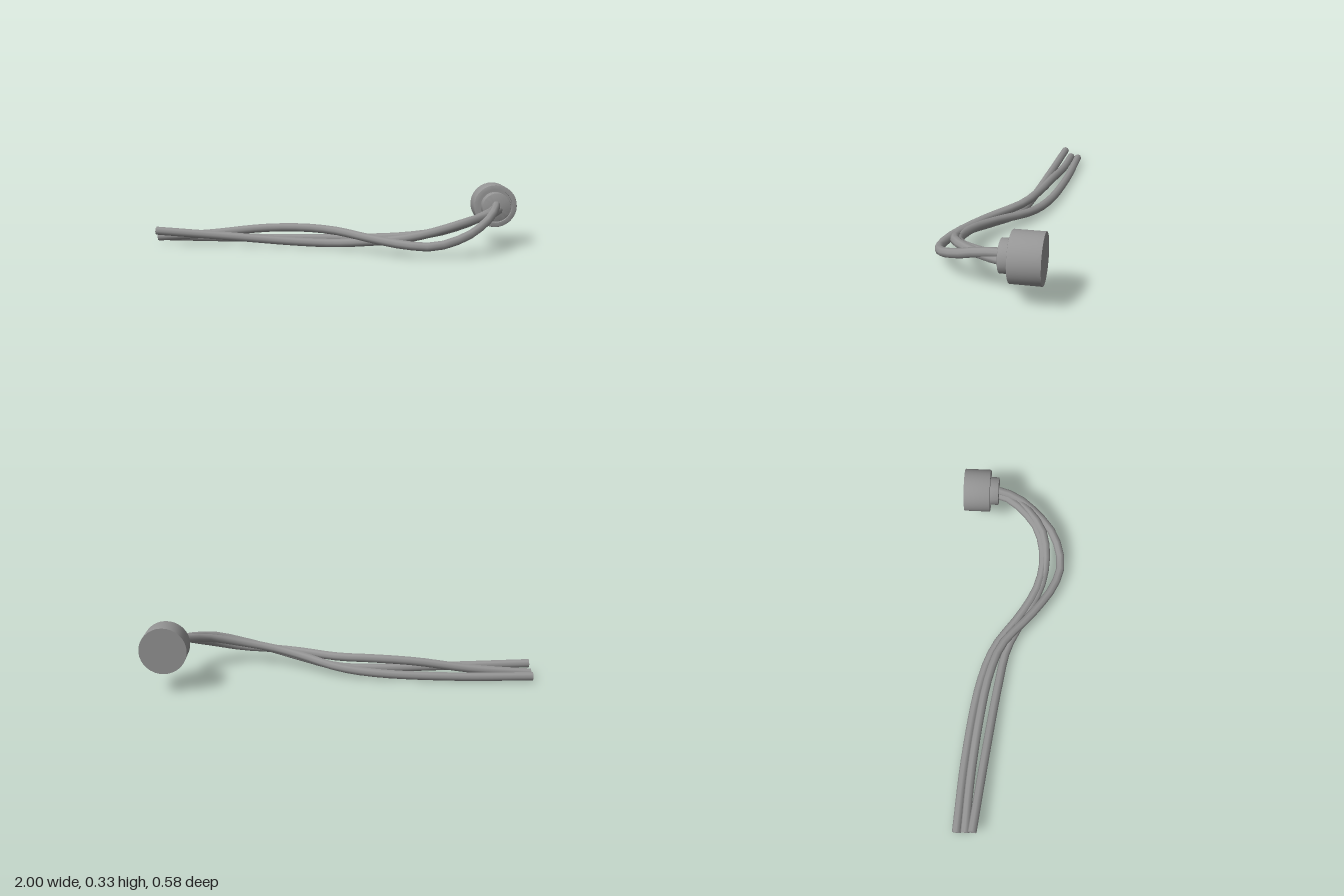
import * as THREE from 'three';
import { toCreasedNormals } from 'three/addons/utils/BufferGeometryUtils.js';

const darkGrey = new THREE.MeshStandardMaterial({ color: 0x959595 });
const CABLE_RADIUS = 0.023;

// Cable swept through a few points, closed by a flat cap at its free end
function makeCable(name, points) {
  const group = new THREE.Group();
  group.name = name;
  const curve = new THREE.CatmullRomCurve3(points.map((p) => new THREE.Vector3(...p)));
  const sheath = new THREE.Mesh(new THREE.TubeGeometry(curve, 28, CABLE_RADIUS, 8), darkGrey);
  sheath.name = name + 'Sheath';
  const cap = new THREE.Mesh(new THREE.CircleGeometry(CABLE_RADIUS, 8), darkGrey);
  cap.name = name + 'Cap';
  const outward = curve.getTangentAt(0).negate();
  cap.quaternion.setFromUnitVectors(new THREE.Vector3(0, 0, 1), outward);
  cap.position.copy(curve.getPointAt(0));
  group.add(sheath, cap);
  return group;
}

// Round connector part turned around the z axis from [radius, z] points
function makeTurned(name, points) {
  const profile = points.map(([r, z]) => new THREE.Vector2(r, z));
  const geometry = toCreasedNormals(new THREE.LatheGeometry(profile, 32), 0.7);
  geometry.rotateX(Math.PI / 2);
  const mesh = new THREE.Mesh(geometry, darkGrey);
  mesh.name = name;
  return mesh;
}

export function createModel() {
  const model = new THREE.Group();
  model.name = 'cableHarness';

  // Connector: wide body with a recess in its front, narrow collar standing in it
  const connector = new THREE.Group();
  connector.name = 'connector';
  connector.position.set(0.88, 0.218, 0);
  connector.add(
    makeTurned('connectorBody', [
      [0, -0.293], [0.117, -0.293], [0.117, -0.152], [0.1155, -0.1485], [0.112, -0.147],
      [0.092, -0.147], [0.092, -0.167], [0, -0.167],
    ]),
    makeTurned('connectorCollar', [
      [0.077, -0.167], [0.077, -0.105], [0.0755, -0.1015], [0.072, -0.1], [0, -0.1],
    ]),
  );
  model.add(connector);

  // Three loosely twisted cables, from the free end to the connector
  model.add(
    makeCable('rearCable', [
      [-1, 0.025, -0.222], [-0.6, 0.024, -0.2], [-0.2, 0.033, -0.147], [0, 0.047, -0.08],
      [0.2, 0.073, 0.06], [0.36, 0.095, 0.143], [0.52, 0.12, 0.168], [0.68, 0.16, 0.127],
      [0.79, 0.19, 0.03], [0.85, 0.203, -0.06], [0.865, 0.205, -0.12],
    ]),
    makeCable('archedCable', [
      [-1, 0.03, -0.178], [-0.7, 0.053, -0.165], [-0.4, 0.09, -0.135], [-0.18, 0.1, -0.1],
      [0, 0.094, -0.04], [0.2, 0.078, 0.12], [0.38, 0.065, 0.235], [0.52, 0.066, 0.269],
      [0.68, 0.11, 0.218], [0.79, 0.165, 0.105], [0.85, 0.21, 0], [0.88, 0.23, -0.12],
    ]),
    makeCable('frontCable', [
      [-1, 0.07, -0.14], [-0.6, 0.05, -0.097], [-0.2, 0.03, -0.048], [0, 0.03, -0.012],
      [0.2, 0.057, 0.085], [0.36, 0.085, 0.16], [0.52, 0.125, 0.182], [0.66, 0.165, 0.158],
      [0.77, 0.187, 0.08], [0.85, 0.196, -0.02], [0.895, 0.2, -0.12],
    ]),
  );
  return model;
}
